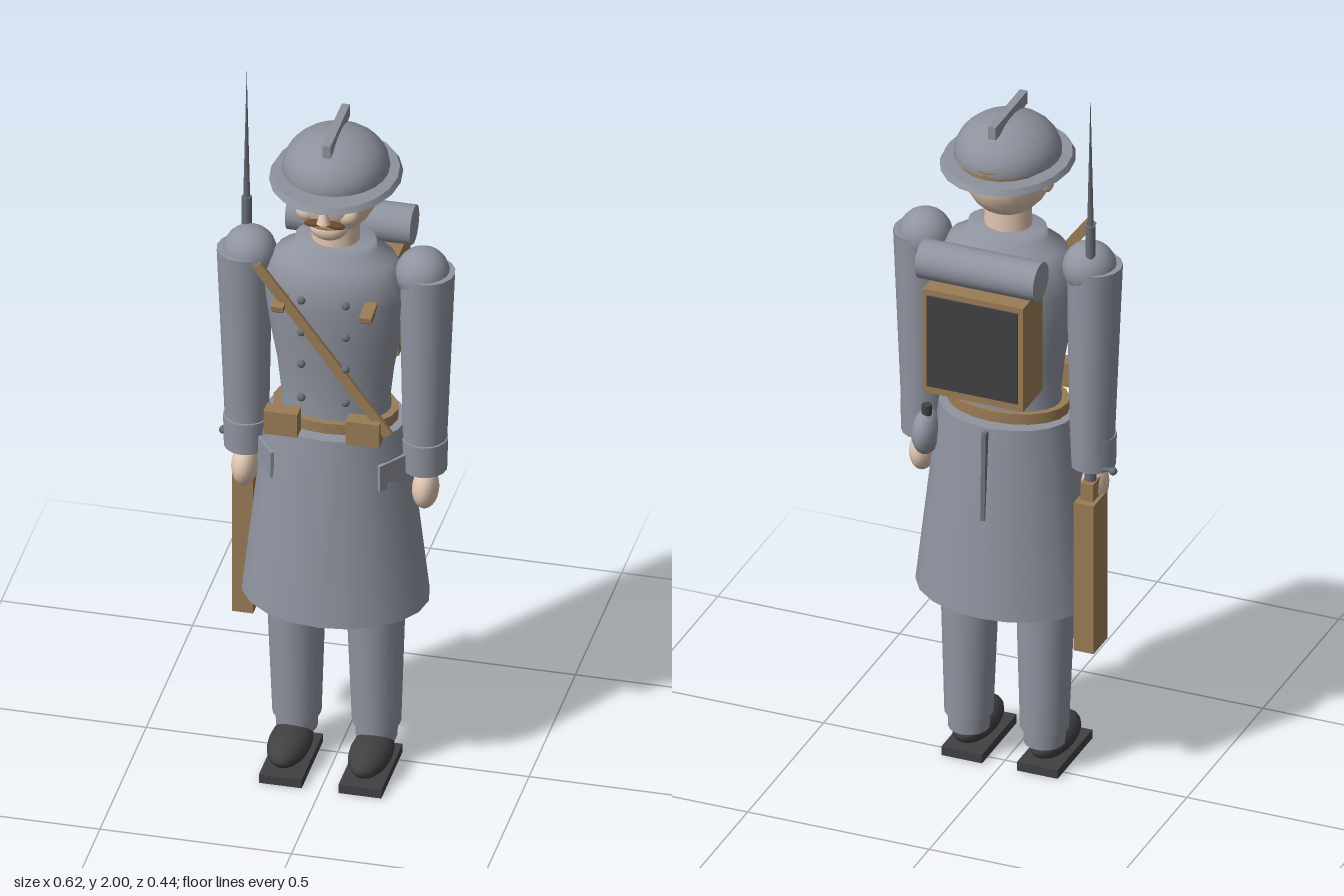
import * as THREE from 'three';

const mat = (name, color, double) => {
  const m = new THREE.MeshStandardMaterial({ color });
  m.name = name;
  if (double) m.side = THREE.DoubleSide;
  return m;
};

export function createModel() {
  const root = new THREE.Group();
  root.name = 'soldier';

  const coat = mat('coatGrey', 0x9094a0, true);
  const helmetGrey = mat('helmetGrey', 0x8e929d);
  const skin = mat('skin', 0xe0c5b0);
  const leather = mat('leather', 0x9a7c56);
  const boot = mat('bootBlack', 0x414144);
  const metal = mat('gunMetal', 0x686d76);
  const hair = mat('hairBrown', 0x6a4a2e);
  const seam = mat('seamGrey', 0x6c707a);

  const add = (name, geo, material, x, y, z, parent = root) => {
    const m = new THREE.Mesh(geo, material);
    m.name = name;
    m.position.set(x, y, z);
    parent.add(m);
    return m;
  };
  const box = (name, w, h, d, material, x, y, z, parent) =>
    add(name, new THREE.BoxGeometry(w, h, d), material, x, y, z, parent);
  const ball = (name, rx, ry, rz, material, x, y, z, parent) =>
    add(name, new THREE.SphereGeometry(1, 20, 14).scale(rx, ry, rz), material, x, y, z, parent);
  // elliptical cylinder: depth is the z radius as a fraction of the x radius
  const tube = (name, rTop, rBottom, h, depth, material, x, y, z, open = false, sides = 20) =>
    add(name, new THREE.CylinderGeometry(rTop, rBottom, h, sides, 1, open).scale(1, 1, depth), material, x, y, z);

  // Coat: skirt, torso, rear seam
  tube('coatSkirt', 0.182, 0.243, 0.53, 0.79, coat, 0, 0.767, 0.02, true);
  tube('skirtTop', 0.182, 0.182, 0.004, 0.79, coat, 0, 1.03, 0.02);
  const profile = [
    [0.145, 1.03], [0.142, 1.1], [0.152, 1.19], [0.172, 1.3], [0.185, 1.4],
    [0.18, 1.46], [0.155, 1.51], [0.108, 1.535], [0.104, 1.56], [0, 1.56],
  ].map(p => new THREE.Vector2(...p));
  add('torso', new THREE.LatheGeometry(profile, 24).scale(1, 1, 0.68), coat, 0, 0, 0.017);
  const slit = box('rearSeam', 0.012, 0.25, 0.02, seam, 0, 0.9, -0.137);
  slit.rotation.x = 0.03;

  // Belt, cross strap and buttons
  tube('belt', 0.163, 0.163, 0.03, 0.69, leather, 0, 1.05, 0.02);
  const strap = box('crossStrap', 0.027, 0.575, 0.01, leather, -0.002, 1.3, 0.155);
  strap.rotation.z = Math.atan2(0.344, 0.46);
  for (const x of [-0.058, 0.058])
    for (const y of [1.44, 1.345, 1.25, 1.15])
      ball('button', 0.011, 0.011, 0.009, metal, x, y, 0.155);

  // Mirrored limbs and fittings
  for (const s of [-1, 1]) {
    box('sole', 0.112, 0.025, 0.228, boot, s * 0.104, 0.0125, 0.076);
    ball('boot', 0.055, 0.043, 0.113, boot, s * 0.106, 0.062, 0.074);
    const leg = tube('trouserLeg', 0.078, 0.063, 0.43, 1, coat, s * 0.104, 0.335, 0.014, false, 18);
    leg.rotation.x = 0.02;
    tube('ankle', 0.056, 0.053, 0.06, 1, coat, s * 0.104, 0.105, 0.01, false, 18);

    ball('shoulder', 0.07, 0.07, 0.07, coat, s * 0.226, 1.48, 0.015);
    const arm = tube('sleeve', 0.072, 0.055, 0.58, 1, coat, s * 0.235, 1.2, 0.018, false, 16);
    arm.rotation.z = s * -0.012;
    tube('cuff', 0.06, 0.058, 0.09, 1, coat, s * 0.233, 0.95, 0.022, false, 16);
    ball('hand', 0.034, 0.056, 0.05, skin, s * 0.236, 0.845, 0.026);

    const flap = box('pocketFlap', 0.09, 0.075, 0.01, coat, s * 0.165, 0.92, 0.095);
    flap.rotation.y = s * 0.95;

    box('ammoPouch', 0.088, 0.068, 0.042, leather, s * 0.107, 1.075, 0.157);
    const ribbon = box('chestTab', 0.032, 0.014, 0.07, leather, s * 0.115, 1.424, 0.146);
    ribbon.rotation.x = 0.12;
    box('chestTabShade', 0.028, 0.012, 0.045, hair, s * 0.115, 1.412, 0.15);
  }

  // Head
  tube('neck', 0.06, 0.063, 0.1, 0.9, skin, 0, 1.59, 0.02);
  ball('head', 0.115, 0.125, 0.127, skin, 0, 1.72, 0.022);
  ball('chin', 0.05, 0.035, 0.04, skin, 0, 1.635, 0.095);
  for (const s of [-1, 1]) {
    ball('ear', 0.017, 0.036, 0.026, skin, s * 0.112, 1.712, 0.012);
    ball('cheek', 0.03, 0.027, 0.025, skin, s * 0.052, 1.685, 0.11);
    ball('eye', 0.014, 0.012, 0.012, boot, s * 0.042, 1.73, 0.135);
    box('eyebrow', 0.042, 0.008, 0.012, hair, s * 0.042, 1.75, 0.135);
    const whisker = ball('moustache', 0.03, 0.009, 0.012, hair, s * 0.024, 1.67, 0.142);
    whisker.rotation.z = s * -0.15;
  }
  const nose = add('nose', new THREE.ConeGeometry(0.018, 0.07, 10), skin, 0, 1.712, 0.148);
  nose.rotation.x = -0.2;
  ball('lips', 0.036, 0.006, 0.01, leather, 0, 1.657, 0.137);

  // Helmet: brim, leather band, dome and crest
  tube('helmetBrim', 0.161, 0.169, 0.014, 1.18, helmetGrey, 0, 1.75, 0.017);
  tube('helmetBand', 0.118, 0.118, 0.024, 1.1, leather, 0, 1.767, 0);
  const dome = new THREE.SphereGeometry(1, 24, 8, 0, Math.PI * 2, 0, Math.PI / 2);
  add('helmetDome', dome.scale(0.137, 0.1, 0.147), helmetGrey, 0, 1.77, 0.017);
  tube('helmetDomeBase', 0.137, 0.137, 0.006, 1.07, helmetGrey, 0, 1.769, 0.017, false, 24);
  box('helmetCrest', 0.021, 0.036, 0.21, helmetGrey, 0, 1.872, 0.017);

  // Backpack with rear panel and bedroll
  box('backpack', 0.277, 0.3, 0.127, leather, 0, 1.305, -0.15);
  box('backpackPanel', 0.25, 0.262, 0.007, boot, 0, 1.308, -0.2155);
  const roll = tube('bedroll', 0.052, 0.052, 0.326, 1, coat, 0, 1.51, -0.156);
  roll.rotation.z = Math.PI / 2;

  // Canteen on the left hip
  ball('canteen', 0.036, 0.062, 0.052, coat, 0.196, 0.943, -0.05);
  tube('canteenCap', 0.013, 0.013, 0.03, 1, boot, 0.192, 1.01, -0.058, false, 10);

  // Rifle in the right hand with bayonet
  const rifle = new THREE.Group();
  rifle.name = 'rifle';
  rifle.position.set(-0.242, 0, -0.018);
  root.add(rifle);
  box('stock', 0.055, 0.43, 0.09, leather, 0, 0.615, 0, rifle);
  box('grip', 0.035, 0.06, 0.05, leather, 0, 0.85, 0, rifle);
  const barrel = new THREE.CylinderGeometry(0.013, 0.015, 0.78, 10);
  add('barrel', barrel, metal, 0, 1.23, 0, rifle);
  add('bayonet', new THREE.ConeGeometry(0.009, 0.38, 4), metal, 0, 1.81, 0, rifle);
  const bolt = add('bolt', new THREE.CylinderGeometry(0.006, 0.006, 0.06, 8), metal, -0.03, 0.915, 0.005, rifle);
  bolt.rotation.z = Math.PI / 2;
  ball('boltKnob', 0.011, 0.011, 0.011, metal, -0.06, 0.915, 0.005, rifle);

  return root;
}
